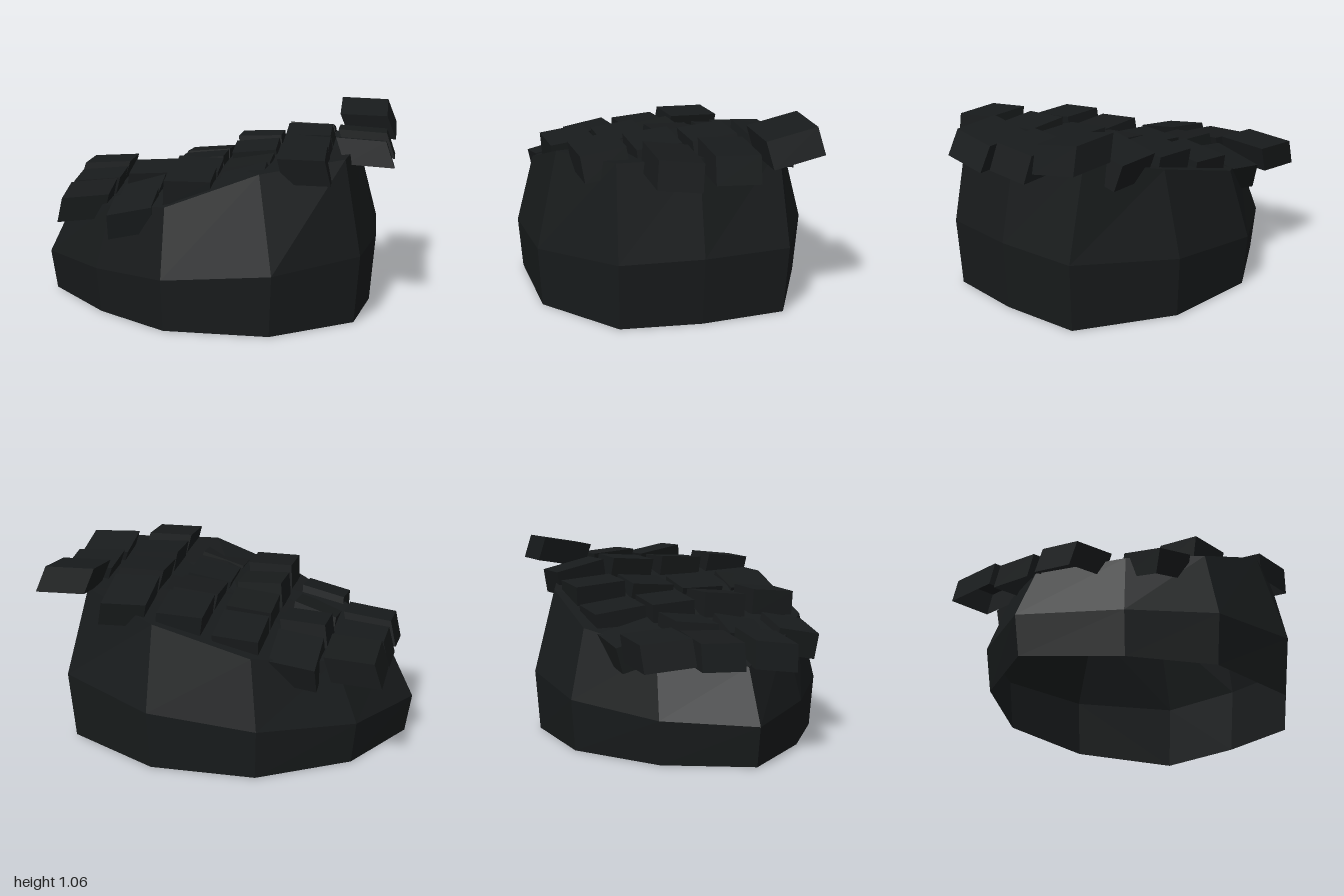
import * as THREE from 'three';

const material = new THREE.MeshStandardMaterial({ color: 0x181b1c, flatShading: true, side: THREE.DoubleSide });

// Widest ring of the mound, [x, z], going round from the front
const waist = [
  [-0.23, 0.735], [0.36, 0.765], [0.81, 0.45], [0.885, 0], [0.875, -0.48],
  [0.34, -0.77], [-0.26, -0.765], [-0.75, -0.46], [-1, 0], [-0.64, 0.43],
];
// Upper rim of the mound, [x, y, z], in the same order
const rim = [
  [-0.22, 0.66, 0.64], [0.28, 0.85, 0.63], [0.72, 0.9, 0.43], [0.78, 0.9, 0], [0.74, 0.9, -0.46],
  [0.33, 0.8, -0.65], [-0.21, 0.66, -0.67], [-0.62, 0.58, -0.42], [-0.86, 0.51, 0], [-0.56, 0.6, 0.37],
];

// Hollow mound: base ring, waist, sloping rim and a fanned roof, open below
function createMound() {
  const n = rim.length;
  const rings = [
    waist.map(([x, z]) => [x * 0.965, 0, z * 0.97]),
    waist.map(([x, z]) => [x, 0.305 + 0.085 * x, z]),
    rim,
    rim.map(([x, y, z]) => [x * 0.5, 0.745 + (y - 0.745) * 0.6, z * 0.5]),
  ];
  const positions = [...rings.flat(2), 0, 0.745, 0];
  const index = [];
  for (let r = 0; r < rings.length; r++) {
    for (let i = 0; i < n; i++) {
      const a = r * n + i, b = r * n + (i + 1) % n;
      if (r < rings.length - 1) index.push(a, b, b + n, a, b + n, a + n);
      else index.push(a, b, n * rings.length);
    }
  }
  const geometry = new THREE.BufferGeometry();
  geometry.setAttribute('position', new THREE.Float32BufferAttribute(positions, 3));
  geometry.setIndex(index);
  geometry.computeVertexNormals();
  return geometry;
}

// Block with an open underside, its top leaning sideways
function createBlock(width, depth, lean) {
  const box = new THREE.BoxGeometry(width, 0.14, depth);
  const index = [...box.index.array];
  index.splice(18, 6);
  box.setIndex(index);
  box.clearGroups();
  const p = box.attributes.position;
  for (let i = 0; i < p.count; i++) p.setX(i, p.getX(i) + lean * p.getY(i));
  box.computeVertexNormals();
  return box;
}

// Block grid: [centre height, tilt about x, tilt about z], rows from back to front
const columns = [-0.74, -0.42, -0.11, 0.2, 0.51, 0.82];
const rows = [
  { z: -0.46, depth: 0.29, blocks: [[0.61, -0.05, 0.06], [0.585, -0.25, 0.16], [0.69, -0.12, 0.08], [0.79, -0.08, 0.04], [0.85, -0.22, -0.04], [0.965, 0.18, -0.03]] },
  { z: -0.15, depth: 0.25, blocks: [[0.585, 0.05, 0.1], [0.64, 0.12, 0.06], [0.715, -0.06, 0.1], [0.78, 0.08, 0.1], [0.88, 0.08, 0], [0.885, -0.08, -0.06]] },
  { z: 0.16, depth: 0.25, blocks: [[0.57, 0.15, 0.12], [0.58, 0.2, 0.3], [0.73, 0.1, -0.04], [0.755, 0, 0.16], [0.87, 0.06, -0.06], [0.885, -0.18, -0.06]] },
  { z: 0.46, depth: 0.25, blocks: [null, [0.575, 0.2, 0.22], [0.735, 0.1, 0], [0.745, 0.12, 0.28], [0.87, 0.12, -0.02], null] },
];

export function createModel() {
  const group = new THREE.Group();
  group.name = 'blockCoveredMound';

  const mound = new THREE.Mesh(createMound(), material);
  mound.name = 'mound';
  group.add(mound);

  // Tilted blocks set into the sloping roof
  const blocks = new THREE.Group();
  blocks.name = 'roofBlocks';
  rows.forEach(({ z, depth, blocks: list }) => list.forEach((entry, c) => {
    if (!entry) return;
    const [y, tiltX, tiltZ] = entry;
    // Outer columns are a little larger, and all lean towards the middle
    const width = c === 0 || c === 5 ? 0.27 : 0.25;
    const block = new THREE.Mesh(createBlock(width, depth, -0.5 * columns[c]), material);
    block.name = 'roofBlock';
    block.position.set(columns[c], y, z);
    block.rotation.set(tiltX, 0, tiltZ);
    blocks.add(block);
  }));
  group.add(blocks);
  return group;
}
